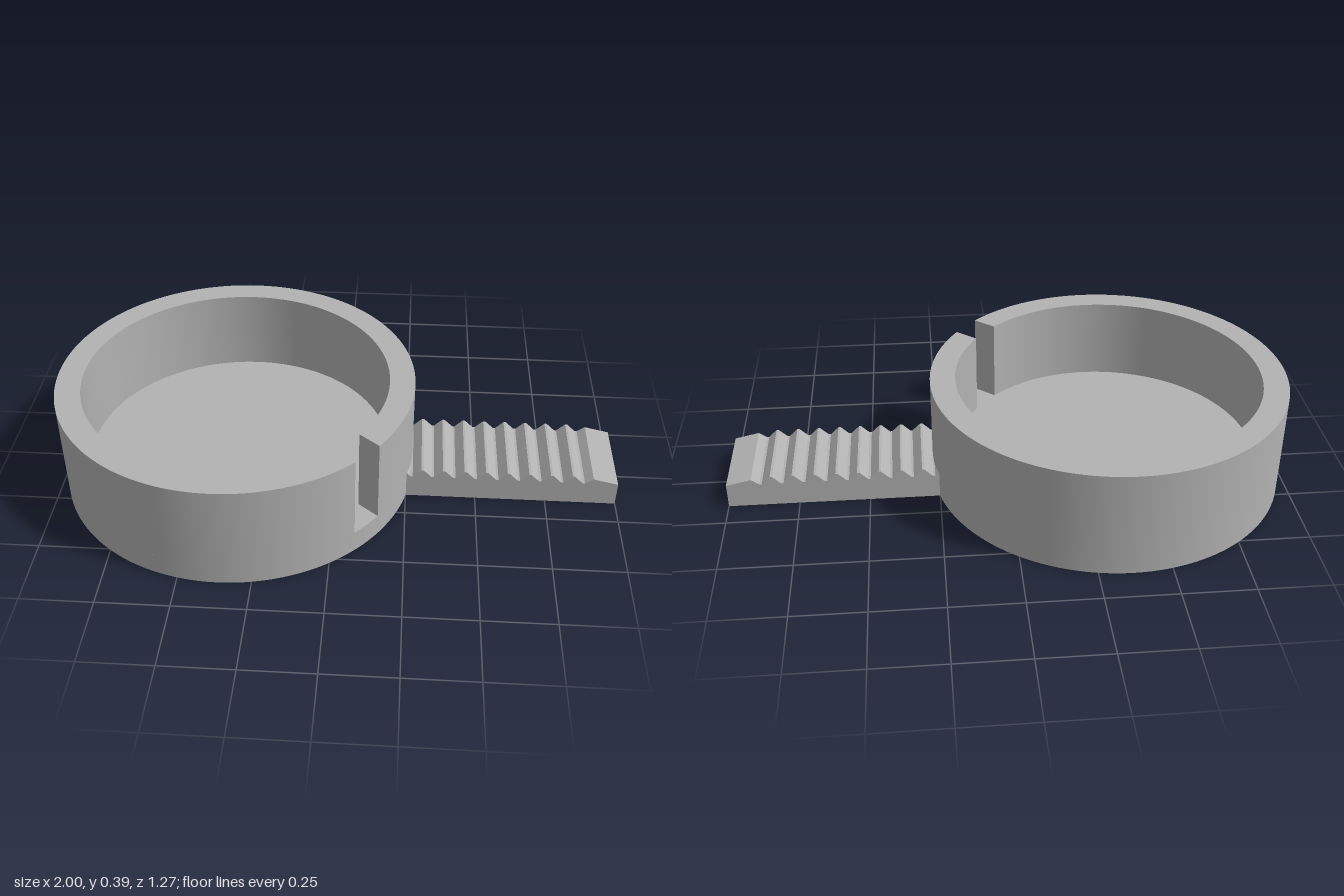
import * as THREE from 'three';
import { toCreasedNormals } from 'three/addons/utils/BufferGeometryUtils.js';

const CENTER_X = -0.365, OUTER = 0.635, INNER = 0.545;
const HEIGHT = 0.387, FLOOR = 0.08;
const SLOT_ANGLE = THREE.MathUtils.degToRad(40), SLOT_HALF = 0.058;

// Wall plan: a ring left open by a slot with parallel sides
function wallGeometry() {
  const a = Math.asin(SLOT_HALF / OUTER), b = Math.asin(SLOT_HALF / INNER);
  const turn = Math.PI * 2;
  const shape = new THREE.Shape();
  shape.absarc(0, 0, OUTER, SLOT_ANGLE + a, SLOT_ANGLE + turn - a, false);
  shape.absarc(0, 0, INNER, SLOT_ANGLE + turn - b, SLOT_ANGLE + b, true);
  shape.closePath();
  const geo = new THREE.ExtrudeGeometry(shape, {
    depth: HEIGHT - FLOOR, bevelEnabled: false, curveSegments: 96,
  });
  geo.rotateX(Math.PI / 2).translate(0, HEIGHT, 0);
  return toCreasedNormals(geo, 0.5);
}

// Handle side profile: toothed top and a sloping tip
function handleGeometry() {
  const start = 0.155, pitch = 0.0763, peak = 0.117, valley = 0.088, flat = 0.004;
  const shape = new THREE.Shape();
  shape.moveTo(start, 0);
  shape.lineTo(1, 0);
  shape.lineTo(1, 0.088);
  shape.lineTo(0.912, 0.108);
  for (let i = 9; i >= 0; i--) {
    const x = start + i * pitch;
    shape.lineTo(x + pitch / 2 + flat, valley);
    shape.lineTo(x + pitch / 2 - flat, valley);
    shape.lineTo(x + flat, peak);
    shape.lineTo(i ? x - flat : start, peak);
  }
  shape.closePath();
  const geo = new THREE.ExtrudeGeometry(shape, { depth: 0.304, bevelEnabled: false });
  return geo.translate(0, 0, -0.152);
}

export function createModel() {
  const group = new THREE.Group();
  group.name = 'slottedCupWithHandle';
  const gray = new THREE.MeshStandardMaterial({ color: 0xb2b2b2 });
  gray.name = 'gray';

  const add = (name, geo, x = 0, y = 0) => {
    const mesh = new THREE.Mesh(geo, gray);
    mesh.name = name;
    mesh.position.set(x, y, 0);
    group.add(mesh);
  };

  add('cupFloor', new THREE.CylinderGeometry(OUTER, OUTER, FLOOR, 128), CENTER_X, FLOOR / 2);
  add('cupWall', wallGeometry(), CENTER_X);
  add('toothedHandle', handleGeometry());
  return group;
}
